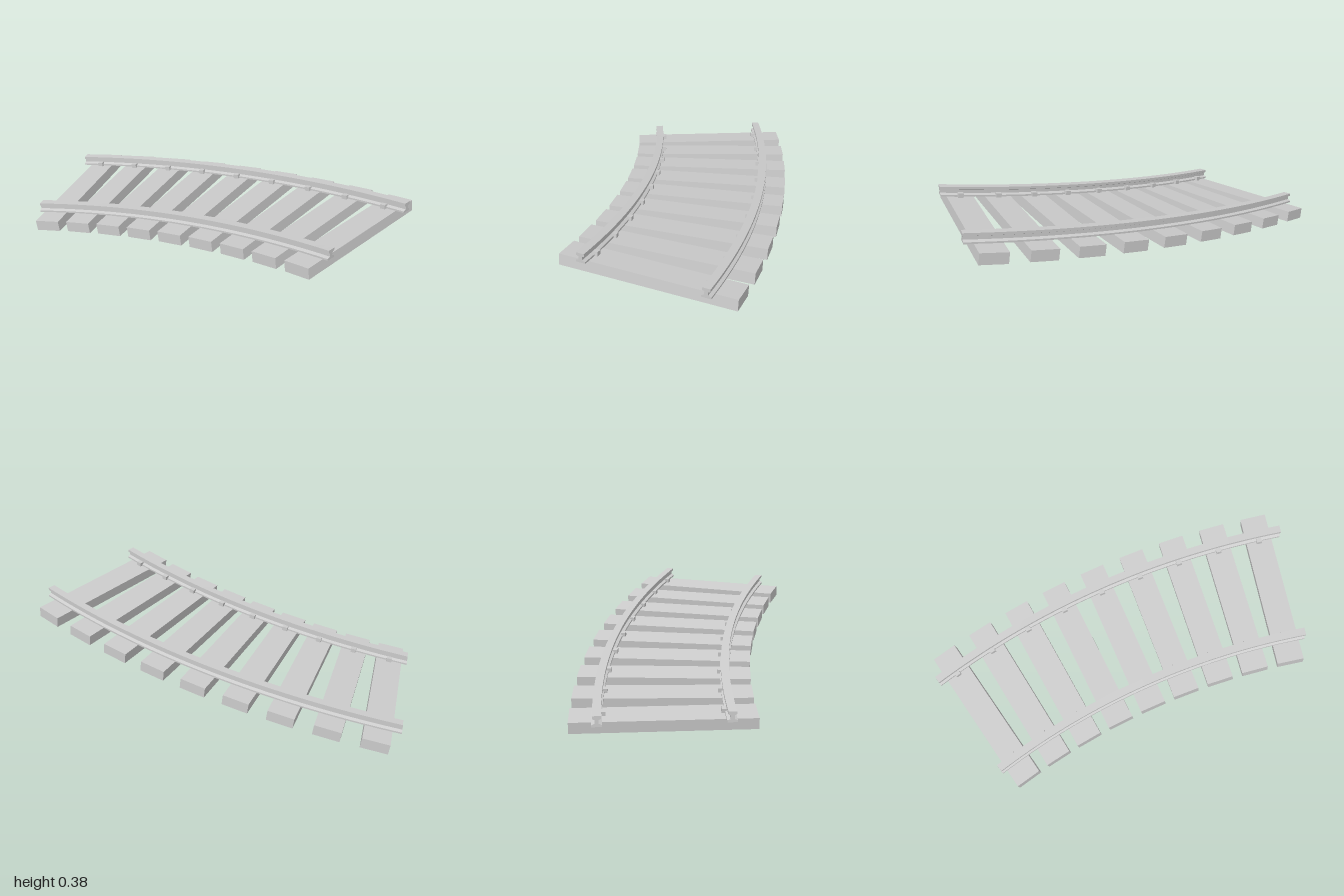
import * as THREE from 'three';

const RADIUS = 3.905, CX = 0.8825, CZ = 3.728;   // centre line of the bend
const STEP = THREE.MathUtils.degToRad(3.1), TIES = 9;
const HALF_GAUGE = 0.304;
const TOP_Y = 0.31;                               // tie top at the high end
const DROP = 0.244 / (STEP * (TIES - 1));         // height lost per radian
const PITCH = 0.143;

// point on the climbing bend: angle from the high end, radius, height above tie tops
const onTrack = (a, r, h) => [CX - r * Math.sin(a), TOP_Y - DROP * a + h, CZ - r * Math.cos(a)];

// rail cross-section: foot, web, head (outward offset, height), anticlockwise
const half = [[0.024, 0], [0.024, 0.009], [0.009, 0.016], [0.009, 0.033], [0.02, 0.038], [0.02, 0.052]];
const profile = [...half, ...half.map(([x, y]) => [-x, y]).reverse()];

function railGeometry(radius) {
  const segments = 36, n = profile.length, pos = [];
  const ring = (i) => {
    const a = STEP * (-0.5 + (TIES * i) / segments);
    return profile.map(([o, h]) => onTrack(a, radius + o, h));
  };
  for (let i = 0; i < segments; i++) {
    const p = ring(i), q = ring(i + 1);
    for (let j = 0; j < n; j++) {
      const k = (j + 1) % n;
      pos.push(...p[j], ...p[k], ...q[k], ...p[j], ...q[k], ...q[j]);
    }
  }
  // end caps
  const faces = THREE.ShapeUtils.triangulateShape(profile.map(([x, y]) => new THREE.Vector2(x, y)), []);
  const first = ring(0), last = ring(segments);
  for (const [a, b, c] of faces) {
    pos.push(...first[a], ...first[c], ...first[b]);
    pos.push(...last[a], ...last[b], ...last[c]);
  }
  const g = new THREE.BufferGeometry();
  g.setAttribute('position', new THREE.Float32BufferAttribute(pos, 3));
  g.computeVertexNormals();
  return g;
}

export function createModel() {
  const model = new THREE.Group();
  model.name = 'curvedTrackRamp';
  const mat = new THREE.MeshStandardMaterial({ color: 0xcccccc, flatShading: true, side: THREE.DoubleSide });

  // two curved rails
  for (const [name, s] of [['outerRail', 1], ['innerRail', -1]]) {
    const rail = new THREE.Mesh(railGeometry(RADIUS + s * HALF_GAUGE), mat);
    rail.name = name;
    model.add(rail);
  }

  // radial ties, each with a spike on the inner side of both rails
  const tieGeo = new THREE.BoxGeometry(0.138, 0.057, 0.865);
  const spikeGeo = new THREE.BoxGeometry(0.028, 0.024, 0.024);
  for (let i = 0; i < TIES; i++) {
    const a = i * STEP;
    const unit = new THREE.Group();
    unit.name = 'tieUnit' + (i + 1);
    unit.position.set(...onTrack(a, RADIUS, 0));
    unit.rotation.set(0, a, PITCH, 'YXZ');

    const tie = new THREE.Mesh(tieGeo, mat);
    tie.name = 'tie';
    tie.position.y = -0.0285;
    unit.add(tie);

    for (const s of [-1, 1]) {
      const spike = new THREE.Mesh(spikeGeo, mat);
      spike.name = 'spike';
      spike.position.set(0, 0.01, s * (HALF_GAUGE - 0.027));
      unit.add(spike);
    }
    model.add(unit);
  }
  return model;
}
